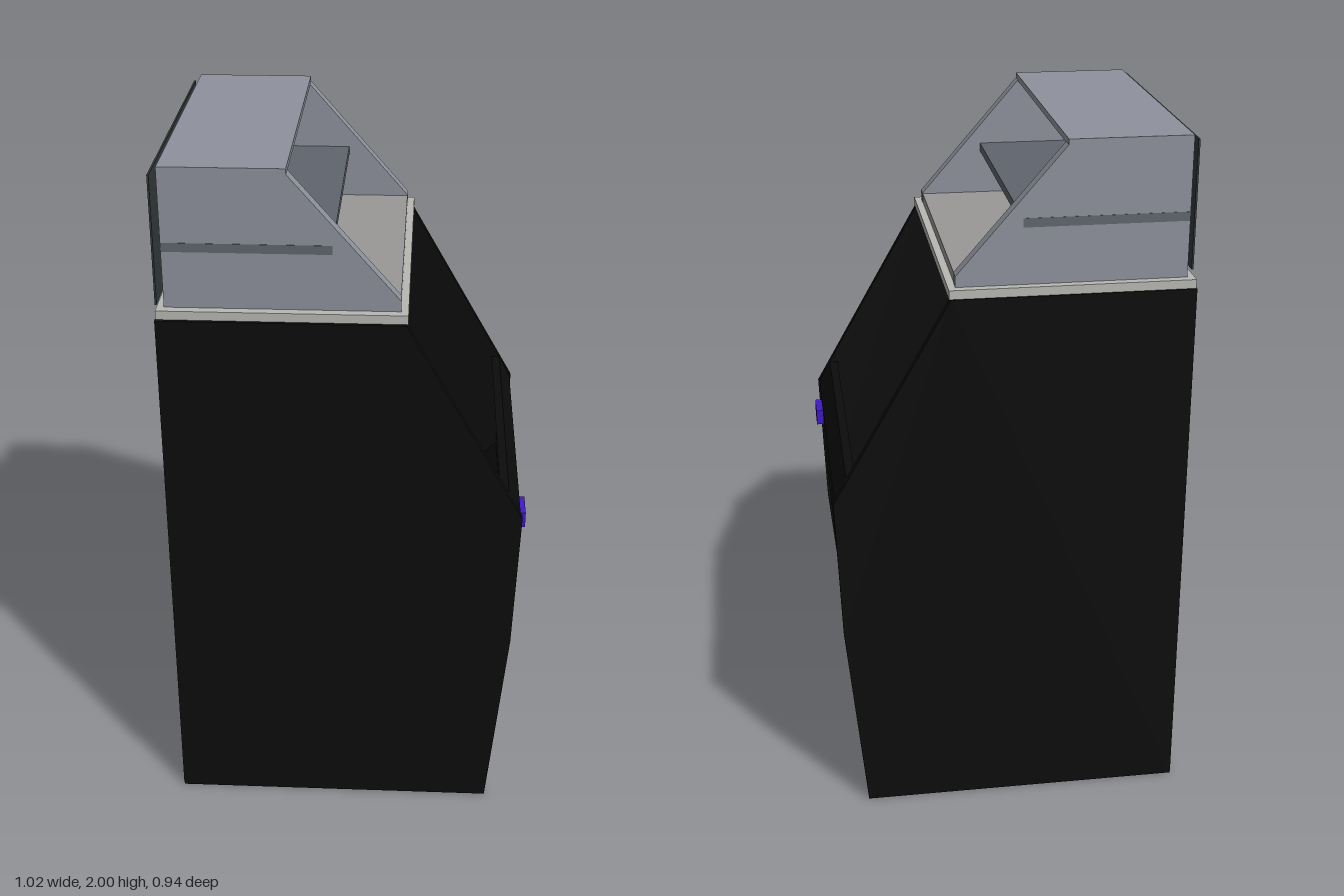
import * as THREE from 'three';

const mat = (color) => new THREE.MeshStandardMaterial({ color });

export function createModel() {
  const model = new THREE.Group();
  const black = mat(0x0c0c0c), brown = mat(0x1e1c19), pale = mat(0xb8b8b4);
  const frost = mat(0x8e929c), slate = mat(0x60656e), stone = mat(0x9a9896);

  const add = (name, geometry, material) => {
    const mesh = new THREE.Mesh(geometry, material);
    mesh.name = name;
    model.add(mesh);
    return mesh;
  };
  // Box given by its limits on each axis
  const box = (name, material, [x0, x1], [y0, y1], [z0, z1]) =>
    add(name, new THREE.BoxGeometry(x1 - x0, y1 - y0, z1 - z0), material)
      .position.set((x0 + x1) / 2, (y0 + y1) / 2, (z0 + z1) / 2);
  // Side outline in x and y, extruded from z0 to z1
  const slab = (name, material, points, [z0, z1]) => {
    const shape = new THREE.Shape(points.map(([x, y]) => new THREE.Vector2(x, y)));
    add(name, new THREE.ExtrudeGeometry(shape, { depth: z1 - z0, bevelEnabled: false }), material)
      .position.z = z0;
  };

  // Cabinet sides
  const side = [[-0.51, 0], [0.425, 0], [0.48, 0.58], [0.495, 1.0], [0.16, 1.585], [-0.51, 1.585]];
  slab('leftSidePanel', black, side, [0.445, 0.47]);
  slab('rightSidePanel', black, side, [-0.47, -0.445]);

  // Folded front: rim, upper band, sloped step and recessed lower panel
  slab('frontPanel', black, [
    [0.455, 1.07], [0.43, 1.07], [0.46, 0.99], [0.457, 0.75], [0.395, 0.68], [0.36, 0.02],
    [0.385, 0.02], [0.42, 0.67], [0.482, 0.74], [0.491, 1.0],
  ], [-0.445, 0.445]);

  // Cabinet back and floor
  box('backPanel', brown, [-0.512, -0.49], [0.005, 1.585], [-0.468, 0.468]);
  box('cabinetFloor', black, [-0.49, 0.4], [0.003, 0.03], [-0.445, 0.445]);

  // Stepped interior shelves, deeper towards the bottom
  [[-0.05, 1.21, 0x55534f], [0.1, 0.96, 0x60656e], [0.285, 0.7, 0x67737f]].forEach(([front, top, color]) =>
    box('cabinetShelf', mat(color), [-0.49, front], [top - 0.025, top], [-0.44, 0.435]));

  // Price tag on the front
  box('frontTag', mat(0x4018c8), [0.485, 0.51], [0.918, 0.965], [0.285, 0.378]);

  // Counter deck and upper display case
  box('counterDeck', pale, [-0.51, 0.165], [1.585, 1.61], [-0.465, 0.46]);
  box('caseFloor', stone, [-0.488, 0.144], [1.61, 1.638], [-0.41, 0.41]);
  const glass = [[-0.49, 1.61], [0.145, 1.61], [0.145, 1.64], [-0.155, 1.985], [-0.49, 1.985]];
  slab('caseLeftSide', frost, glass, [0.393, 0.433]);
  slab('caseRightSide', frost, glass, [-0.44, -0.4]);
  box('caseTop', frost, [-0.49, -0.155], [1.982, 2.0], [-0.44, 0.433]);
  box('caseShelf', slate, [-0.488, -0.037], [1.768, 1.793], [-0.441, 0.434]);
  box('caseBack', mat(0x333a3b), [-0.51, -0.505], [1.625, 1.985], [-0.425, 0.455]);

  return model;
}
